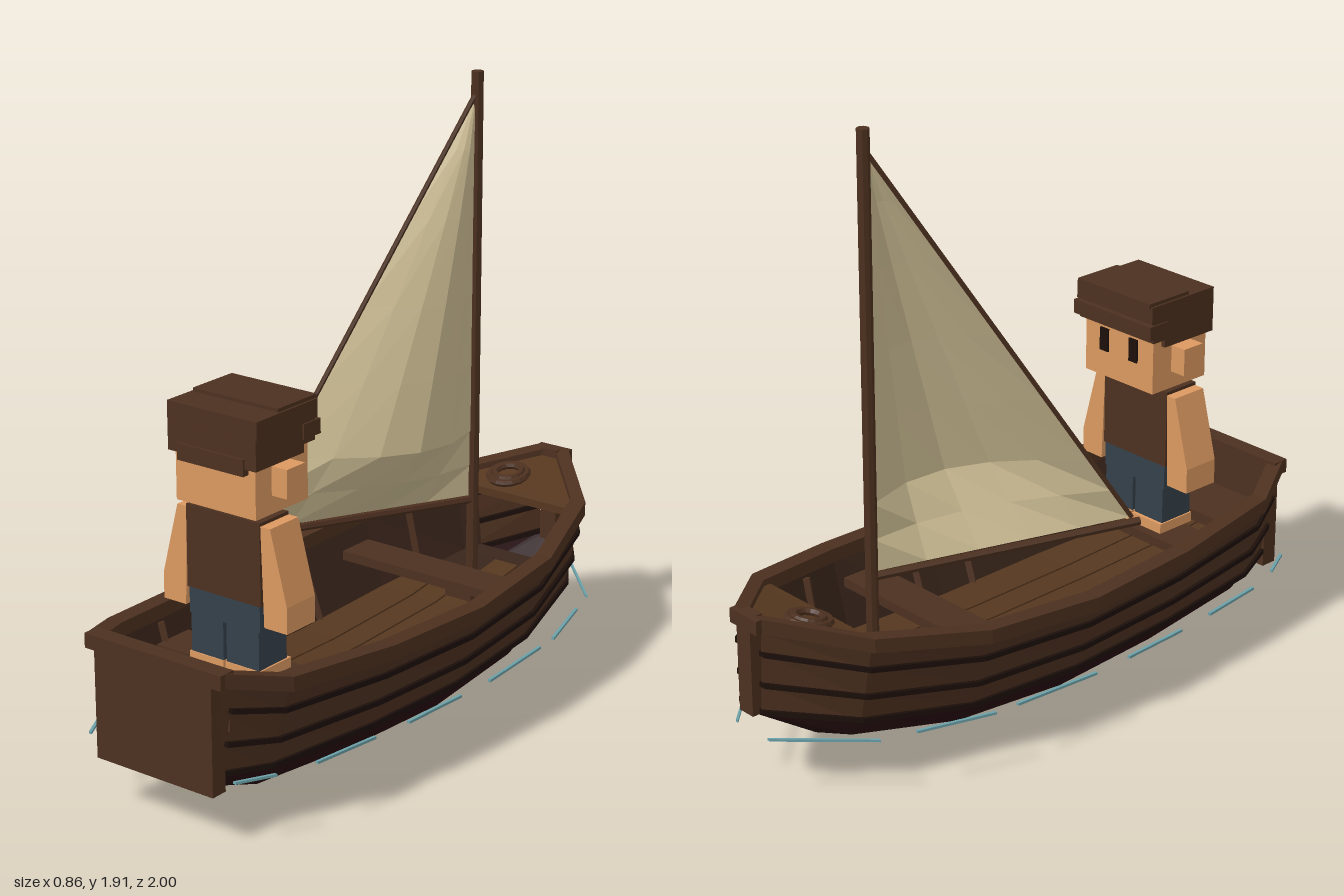
import * as THREE from 'three';

const mat = (name, color, side = THREE.DoubleSide) => {
  const m = new THREE.MeshStandardMaterial({ color, side, flatShading: true });
  m.name = name;
  return m;
};
const M = {
  wood: mat('brown wood', 0x4c301f),
  deck: mat('deck wood', 0x55371f),
  inner: mat('shaded inner planking', 0x38241a),
  seam: mat('dark seam', 0x1c0f0a),
  bottom: mat('bottom paint', 0x270d10),
  sail: mat('canvas', 0xcbbb92),
  skin: mat('skin', 0xdb9860),
  trousers: mat('slate cloth', 0x35404a),
  water: mat('water line', 0x6ba0a8),
};

// Hull stations: z, half width at rail, sheer height, keel height, paint line height
const STATIONS = [
  [0.98, 0.25, 0.53, 0.155, 0.205], [0.8, 0.345, 0.485, 0.05, 0.19],
  [0.4, 0.395, 0.457, 0.015, 0.175], [0, 0.415, 0.447, 0, 0.17],
  [-0.4, 0.385, 0.47, 0.035, 0.185], [-0.75, 0.278, 0.525, 0.11, 0.235],
  [-0.98, 0.06, 0.585, 0.265, 0.28],
];
function station(z) {
  let i = 0;
  while (i < STATIONS.length - 2 && z < STATIONS[i + 1][0]) i++;
  const a = STATIONS[i], b = STATIONS[i + 1];
  const t = THREE.MathUtils.clamp((z - a[0]) / (b[0] - a[0]), 0, 1);
  const [w, sheer, keel, paint] = [1, 2, 3, 4].map(k => a[k] + (b[k] - a[k]) * t);
  return { z, w, sheer, keel, paint, floor: paint + 0.02 };
}
const stationsBetween = (z0, z1) =>
  [z0, ...STATIONS.map(s => s[0]).filter(z => z < z0 - 1e-4 && z > z1 + 1e-4), z1].map(station);

// Skin a list of equal-length cross-sections
function loft(sections, closed) {
  const pos = [], n = sections[0].length;
  const tri = (...p) => p.forEach(v => pos.push(...v));
  for (let i = 0; i < sections.length - 1; i++)
    for (let j = 0; j < (closed ? n : n - 1); j++) {
      const k = (j + 1) % n, a = sections[i][j], b = sections[i][k];
      const d = sections[i + 1][j], c = sections[i + 1][k];
      tri(a, d, b); tri(b, d, c);
    }
  if (closed) {
    const s = sections[0], e = sections[sections.length - 1];
    for (let j = 1; j < n - 1; j++) { tri(s[0], s[j], s[j + 1]); tri(e[0], e[j + 1], e[j]); }
  }
  const g = new THREE.BufferGeometry();
  g.setAttribute('position', new THREE.Float32BufferAttribute(pos, 3));
  g.computeVertexNormals();
  return g;
}

export function createModel() {
  const root = new THREE.Group();
  root.name = 'sailingBoat';

  const add = (name, geo, material, parent = root) => {
    const m = new THREE.Mesh(geo, material);
    m.name = name;
    parent.add(m);
    return m;
  };
  // Box given by its extents on each axis
  const box = (name, material, [x0, x1], [y0, y1], [z0, z1], parent) => {
    const m = add(name, new THREE.BoxGeometry(x1 - x0, y1 - y0, z1 - z0), material, parent);
    m.position.set((x0 + x1) / 2, (y0 + y1) / 2, (z0 + z1) / 2);
    return m;
  };
  const beam = (name, material, a, b, r, sides = 8) => {
    const p = new THREE.Vector3(...a), d = new THREE.Vector3(...b).sub(p);
    const m = add(name, new THREE.CylinderGeometry(r, r, d.length(), sides), material);
    m.position.copy(p).addScaledVector(d, 0.5);
    m.quaternion.setFromUnitVectors(new THREE.Vector3(0, 1, 0), d.normalize());
    return m;
  };
  // Sweep a profile rule along the hull, with an optional mirror to -x
  const hull = (name, material, z0, z1, profile, closed, side = 1) =>
    add(name, loft(stationsBetween(z0, z1).map(s => {
      const p = profile(s).map(([x, y]) => [x * side, y, s.z]);
      return side < 0 ? p.reverse() : p;
    }), closed), material);
  const rect = (x0, x1, y0, y1) => [[x0, y0], [x1, y0], [x1, y1], [x0, y1]];

  // Planking seams, as [fraction of width, fraction of height above paint line]
  const SEAMS = [[0.75, 0.02], [0.82, 0.36], [0.885, 0.74]];
  const topY = s => s.sheer - 0.043;
  const seamY = (s, f) => s.paint + (topY(s) - s.paint) * f;

  // Hull
  hull('hullBottom', M.bottom, 0.98, -0.98, s => {
    const c = (s.keel + s.paint) / 2;
    return [[-0.75 * s.w, s.paint], [-0.6 * s.w, c], [0, s.keel], [0.6 * s.w, c], [0.75 * s.w, s.paint]];
  }, false);
  for (const side of [1, -1]) {
    hull('topsidePlanking', M.wood, 0.98, -0.98, s => [[0.75 * s.w, s.paint],
      ...SEAMS.slice(1).map(([x, f]) => [x * s.w, seamY(s, f)]), [0.94 * s.w, topY(s)]], false, side);
    for (const [x, f] of SEAMS)
      hull('plankSeam', M.seam, 0.95, -0.98, s =>
        rect(x * s.w - 0.01, x * s.w + 0.014, seamY(s, f) - 0.008, seamY(s, f) + 0.008), true, side);
    hull('gunwale', M.wood, 1, -1, s => rect(Math.max(s.w - 0.055, 0), s.w, s.sheer - 0.045, s.sheer), true, side);
    hull('innerPlanking', M.inner, 0.96, -0.8, s => [[s.w - 0.05, s.sheer - 0.03], [0.68 * s.w, s.floor]], false, side);
    // Ribs
    for (const z of [-0.55, -0.09, 0.12, 0.62]) {
      const s = station(z);
      beam('rib', M.wood, [side * 0.66 * s.w, s.floor, z], [side * (s.w - 0.065), s.sheer - 0.05, z], 0.014, 4);
    }
    // Water line dashes
    for (const [a, b] of [[0.97, 0.86], [0.73, 0.5], [0.36, 0.12], [-0.02, -0.32], [-0.4, -0.64], [-0.75, -0.98]])
      hull('waterDash', M.water, a, b, s => rect(s.w + 0.008, s.w + 0.018, 0.202, 0.21), true, side);
  }
  hull('floor', M.inner, 0.96, -0.8, s => [[0.7 * s.w, s.floor], [-0.7 * s.w, s.floor]], false);
  for (let i = -2; i <= 2; i++)
    hull('floorBoard', M.deck, 0.95, i ? -0.6 : -0.72, s => {
      const lim = 0.69 * s.w, e = Math.abs(i) === 2 ? 0.27 : Math.abs(i) * 0.095 + 0.044;
      const a = Math.min(Math.abs(i) * 0.095 - 0.044, lim), b = Math.min(e, lim);
      const y = [s.floor, s.floor + 0.012];
      return i < 0 ? rect(-b, -a, ...y) : rect(a, b, ...y);
    }, true);
  hull('foredeck', M.deck, -0.72, -0.98, s =>
    rect(-Math.max(s.w - 0.04, 0.02), Math.max(s.w - 0.04, 0.02), s.sheer - 0.045, s.sheer - 0.02), true);
  box('transom', M.wood, [-0.215, 0.215], [0.155, 0.5], [0.945, 1]);
  box('sternRail', M.wood, [-0.25, 0.25], [0.485, 0.53], [0.945, 1]);
  box('stem', M.wood, [-0.03, 0.03], [0.27, 0.585], [-1, -0.955]);

  // Seats
  box('forwardThwart', M.wood, [-0.305, 0.305], [0.345, 0.375], [-0.38, -0.25]);
  box('aftThwart', M.wood, [-0.285, 0.285], [0.34, 0.37], [0.52, 0.66]);
  box('sternSeat', M.wood, [-0.235, 0.235], [0.34, 0.375], [0.745, 0.945]);

  // Rope coil on the foredeck
  for (const [r, y] of [[0.062, 0.528], [0.044, 0.535]]) {
    const coil = add('ropeCoil', new THREE.TorusGeometry(r, 0.012, 6, 16), M.wood);
    coil.position.set(-0.06, y, -0.81);
    coil.rotation.x = -Math.PI / 2 + 0.2;
  }

  // Rig
  box('mastStep', M.wood, [-0.05, 0.05], [0.19, 0.25], [-0.6, -0.45]);
  beam('mast', M.wood, [0, 0.2, -0.525], [0, 1.91, -0.525], 0.019);
  beam('boom', M.wood, [0, 0.54, -0.52], [-0.315, 0.575, 0.265], 0.013, 6);
  beam('sailEdgeRope', M.wood, [-0.3, 0.59, 0.245], [0, 1.84, -0.515], 0.008, 6);
  const head = new THREE.Vector3(0, 1.83, -0.515);
  const tack = new THREE.Vector3(0, 0.555, -0.515), clew = new THREE.Vector3(-0.3, 0.59, 0.24);
  const rows = [0, 0.08, 0.17, 0.34, 0.52, 0.72, 0.88, 1].map(v => [0, 0.2, 0.4, 0.6, 0.8, 1].map(u => {
    const p = tack.clone().lerp(clew, u).lerp(head, v);
    const belly = 0.15 * Math.sin(Math.PI * u ** 0.85) * (1 - v) ** 0.7 * Math.min(1, v / 0.17);
    return [p.x + 0.93 * belly, p.y, p.z + 0.36 * belly];
  }));
  add('sail', loft(rows, false), M.sail);

  // Sailor, looking towards the bow
  const man = new THREE.Group();
  man.name = 'sailor';
  root.add(man);
  box('torso', M.wood, [-0.135, 0.135], [0.6, 0.852], [0.56, 0.688], man);
  box('hips', M.trousers, [-0.13, 0.13], [0.52, 0.605], [0.562, 0.686], man);
  box('neck', M.skin, [-0.1, 0.1], [0.85, 0.875], [0.575, 0.67], man);
  box('head', M.skin, [-0.145, 0.145], [0.87, 1.06], [0.485, 0.715], man);
  const armShape = new THREE.Shape([[0.135, 0.842], [0.17, 0.842], [0.228, 0.62], [0.228, 0.54], [0.145, 0.54]]
    .map(p => new THREE.Vector2(...p)));
  for (const side of [1, -1]) {
    const span = (a, b) => side > 0 ? [a, b] : [-b, -a];
    box('leg', M.trousers, span(0.006, 0.125), [0.4, 0.53], [0.562, 0.686], man);
    box('foot', M.skin, span(0.004, 0.13), [0.37, 0.402], [0.55, 0.69], man);
    const arm = add('arm', new THREE.ExtrudeGeometry(armShape, { depth: 0.125, bevelEnabled: false }), M.skin, man);
    arm.position.z = 0.56;
    if (side < 0) { arm.rotation.y = Math.PI; arm.position.z = 0.685; }
    box('ear', M.skin, span(0.14, 0.2), [0.925, 1.012], [0.565, 0.645], man);
    box('eye', M.seam, span(0.045, 0.08), [0.955, 1.03], [0.479, 0.487], man);
  }
  // Cap
  box('capBand', M.wood, [-0.16, 0.16], [1.02, 1.112], [0.52, 0.73], man);
  box('capFront', M.wood, [-0.16, 0.16], [1.045, 1.112], [0.47, 0.53], man);
  box('capPeak', M.wood, [-0.165, 0.165], [1.06, 1.105], [0.45, 0.525], man);
  box('capBack', M.wood, [-0.12, 0.12], [1.0, 1.05], [0.7, 0.738], man);
  box('capCrown', M.wood, [-0.162, 0.162], [1.11, 1.165], [0.46, 0.728], man);
  box('capTop', M.wood, [-0.155, 0.155], [1.16, 1.176], [0.455, 0.625], man);

  return root;
}
